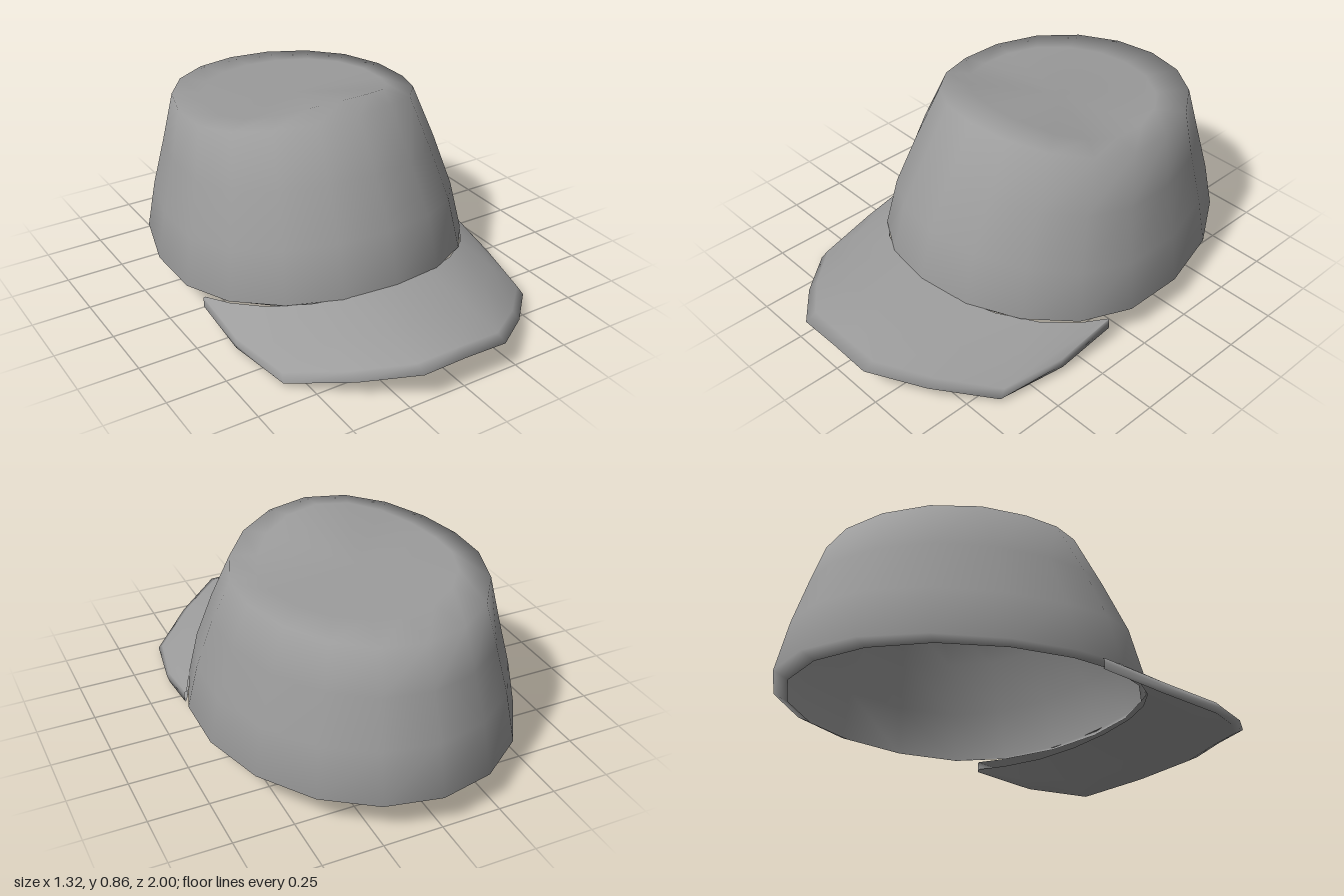
import * as THREE from 'three';

// Smooth surface through rows of points; a closed surface may end in one cap point.
function loft(rows, closed, cap) {
  const n = rows[0].length;
  const points = rows.flat();
  const index = [];
  const spans = closed ? n : n - 1;
  for (let r = 0; r < rows.length - 1; r++) {
    for (let i = 0; i < spans; i++) {
      const a = r * n + i, b = r * n + (i + 1) % n;
      index.push(a, b, b + n, a, b + n, a + n);
    }
  }
  if (cap) {
    const base = (rows.length - 1) * n;
    for (let i = 0; i < n; i++) index.push(base + i, base + (i + 1) % n, points.length);
    points.push(cap);
  }
  const geometry = new THREE.BufferGeometry();
  geometry.setAttribute('position', new THREE.Float32BufferAttribute(points.flat(), 3));
  geometry.setIndex(index);
  geometry.computeVertexNormals();
  return geometry;
}

// Egg-shaped ring with separate front, side and back heights.
function ring({ w, front, back, mid, yFront, ySide, yBack }, sides = 18) {
  return Array.from({ length: sides }, (_, i) => {
    const a = (i / sides) * Math.PI * 2;
    const s = Math.sin(a), c = Math.cos(a);
    const z = mid + c * (c > 0 ? front - mid : mid - back);
    const y = ySide + ((c > 0 ? yFront : yBack) - ySide) * c * c;
    return [w * s, y, z];
  });
}

// Mirror a half row (centre first) into a full row running from -x to +x.
function mirrorRow(half) {
  return [...half.slice(1).reverse().map(([x, y, z]) => [-x, y, z]), ...half];
}

export function createModel() {
  const cap = new THREE.Group();
  cap.name = 'cap';
  const fabric = new THREE.MeshStandardMaterial({ color: 0x9c9c9c, side: THREE.DoubleSide });
  fabric.name = 'grey fabric';

  // Crown: turned-in lip, sloping walls, raised front and dipped top
  const crownRings = [
    { w: 0.63, front: 0.53, back: -0.94, mid: -0.13, yFront: 0.18, ySide: 0.11, yBack: 0.115 },
    { w: 0.67, front: 0.55, back: -1.0, mid: -0.13, yFront: 0.21, ySide: 0.125, yBack: 0.145 },
    { w: 0.63, front: 0.49, back: -0.95, mid: -0.15, yFront: 0.43, ySide: 0.33, yBack: 0.36 },
    { w: 0.57, front: 0.38, back: -0.89, mid: -0.18, yFront: 0.63, ySide: 0.55, yBack: 0.55 },
    { w: 0.51, front: 0.26, back: -0.83, mid: -0.24, yFront: 0.845, ySide: 0.755, yBack: 0.725 },
    { w: 0.4, front: 0.14, back: -0.65, mid: -0.24, yFront: 0.863, ySide: 0.765, yBack: 0.748 },
  ];
  const crown = new THREE.Mesh(
    loft(crownRings.map((r) => ring(r)), true, [0, 0.762, -0.24]), fabric);
  crown.name = 'crown';
  cap.add(crown);

  // Brim: curved plate with drooping corners, from the crown seam to its outer edge
  const seam = [[0, 0.215, 0.55], [0.18, 0.205, 0.52], [0.34, 0.185, 0.45],
    [0.48, 0.16, 0.34], [0.58, 0.14, 0.21], [0.63, 0.125, 0.1]];
  const edge = [[0, 0.135, 1], [0.19, 0.13, 1], [0.39, 0.08, 0.85],
    [0.585, 0.025, 0.65], [0.635, 0.05, 0.37], [0.64, 0.11, 0.1]];
  const between = (t, lift) => seam.map((p, i) => p.map((v, k) =>
    v + (edge[i][k] - v) * t + (k === 1 ? lift : 0)));
  const brimRows = [
    between(0, -0.035),
    between(0.5, -0.035),
    between(0.9, -0.032),
    edge,
    between(0.9, 0.014),
    between(0.5, 0.008),
    seam,
  ];
  const brim = new THREE.Mesh(loft(brimRows.map(mirrorRow), false), fabric);
  brim.name = 'brim';
  cap.add(brim);

  // Stand the cap on the ground
  const box = new THREE.Box3().setFromObject(cap);
  for (const part of cap.children) part.position.y = -box.min.y;
  return cap;
}
